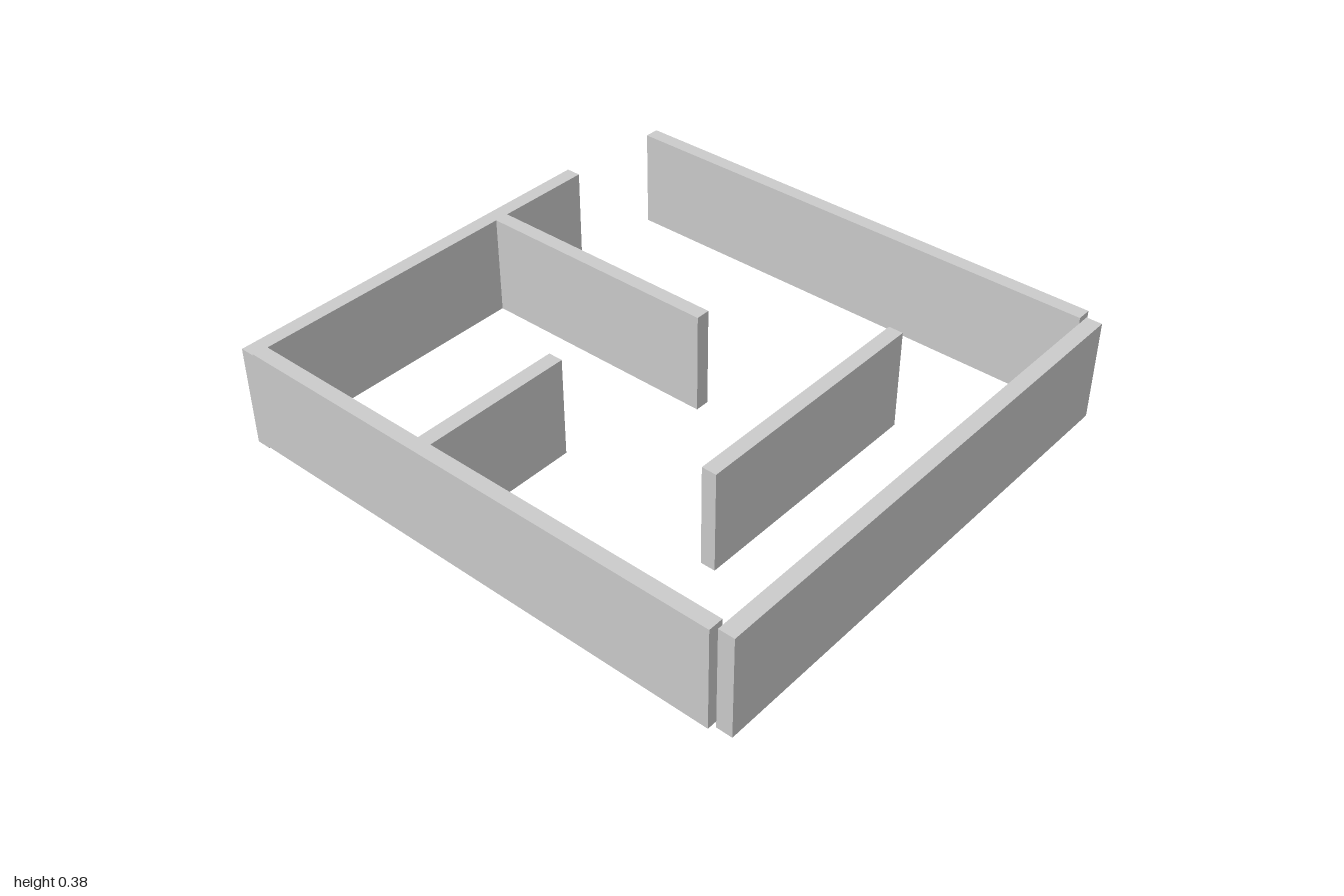
import * as THREE from 'three';

const HEIGHT = 0.375;

export function createModel() {
  const group = new THREE.Group();
  const material = new THREE.MeshStandardMaterial({ color: 0xcccccc, flatShading: true });

  // A wall is an upright slab given by its floor rectangle and base height
  const wall = (name, x0, x1, z0, z1, base = 0) => {
    const mesh = new THREE.Mesh(new THREE.BoxGeometry(x1 - x0, HEIGHT, z1 - z0), material);
    mesh.name = name;
    mesh.position.set((x0 + x1) / 2, base + HEIGHT / 2, (z0 + z1) / 2);
    group.add(mesh);
  };

  // Outer walls; front and back sit a hair higher than the sides
  wall('backWall', -0.945, 0.932, -0.968, -0.914, 0.005);
  wall('frontWall', -0.945, 0.932, 0.909, 0.963, 0.005);
  wall('leftWall', 0.943, 1, -0.938, 0.941);
  wall('rightWall', -1, -0.945, -0.536, 0.963);

  // Inner partitions
  wall('rightPartition', -0.945, -0.014, -0.165, -0.111);
  wall('frontPartition', -0.24, -0.186, 0.348, 0.909, 0.003);
  wall('freestandingPartition', 0.486, 0.54, -0.476, 0.463);

  return group;
}
